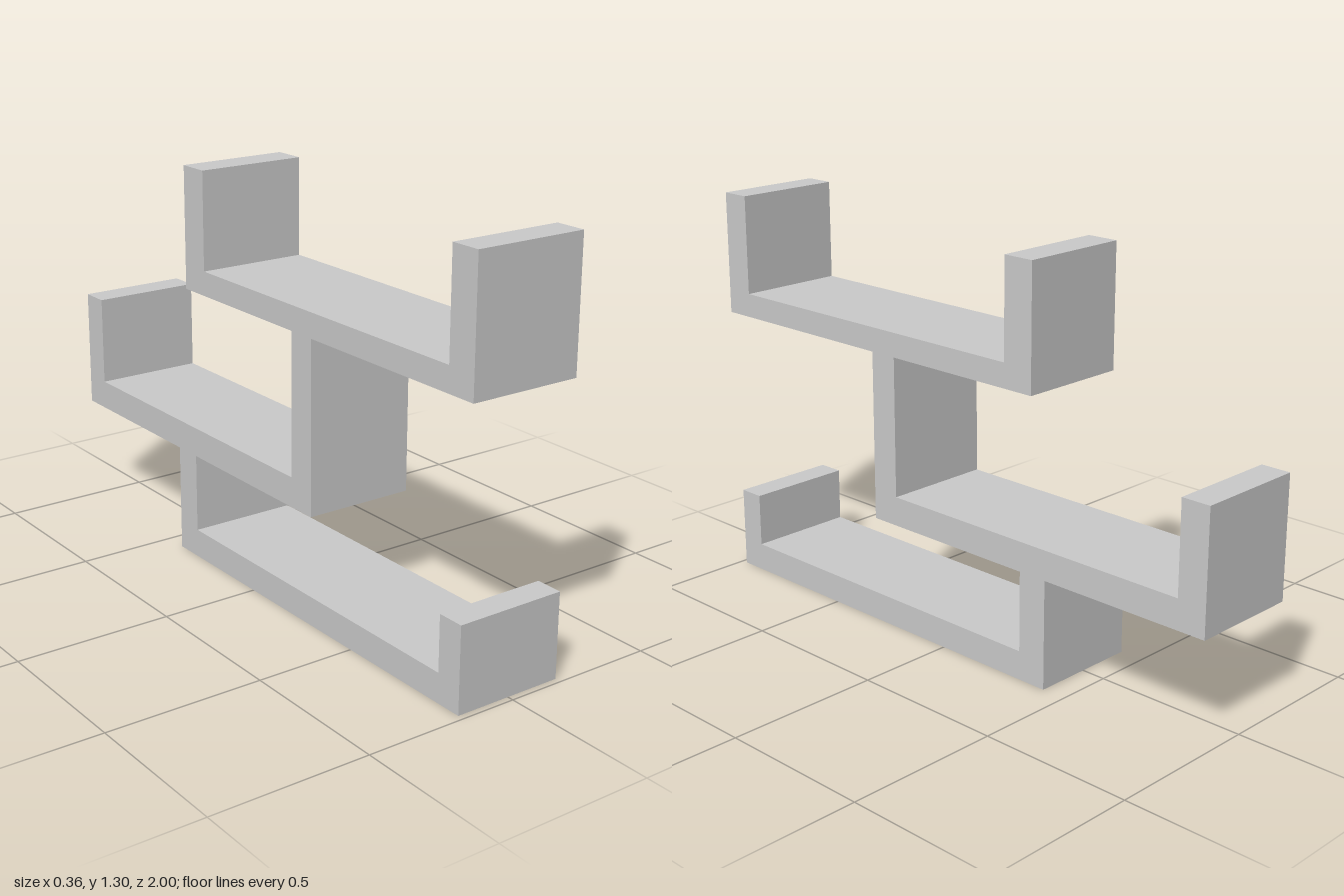
import * as THREE from 'three';

const WIDTH = 0.36;

// Side outline as [z, y], counter-clockwise seen from the right
const OUTLINE = [
  // lower tray underside and rear upright
  [0.98, 0], [-0.42, 0], [-0.42, 0.35],
  // middle tray with rear lip
  [-1, 0.35], [-1, 0.737], [-0.905, 0.737], [-0.905, 0.445], [0.207, 0.445],
  // upright and upper tray with two lips
  [0.207, 0.898], [-0.36, 0.898], [-0.36, 1.29], [-0.255, 1.29], [-0.255, 0.976],
  [0.902, 0.976], [0.902, 1.3], [1, 1.3], [1, 0.898], [0.303, 0.898],
  // back down to the lower tray and its front lip
  [0.303, 0.35], [-0.322, 0.35], [-0.322, 0.093], [0.893, 0.093], [0.893, 0.27], [0.98, 0.27],
];

export function createModel() {
  const group = new THREE.Group();
  group.name = 'tieredHolder';

  // One continuous bent strip, extruded across the width
  const shape = new THREE.Shape(OUTLINE.map(([z, y]) => new THREE.Vector2(-z, y)));
  const geometry = new THREE.ExtrudeGeometry(shape, { depth: WIDTH, bevelEnabled: false });
  geometry.translate(0, 0, -WIDTH / 2);
  geometry.rotateY(Math.PI / 2);

  const strip = new THREE.Mesh(geometry, new THREE.MeshStandardMaterial({ color: 0xcccccc }));
  strip.name = 'threeTierTrayStrip';
  group.add(strip);
  return group;
}
